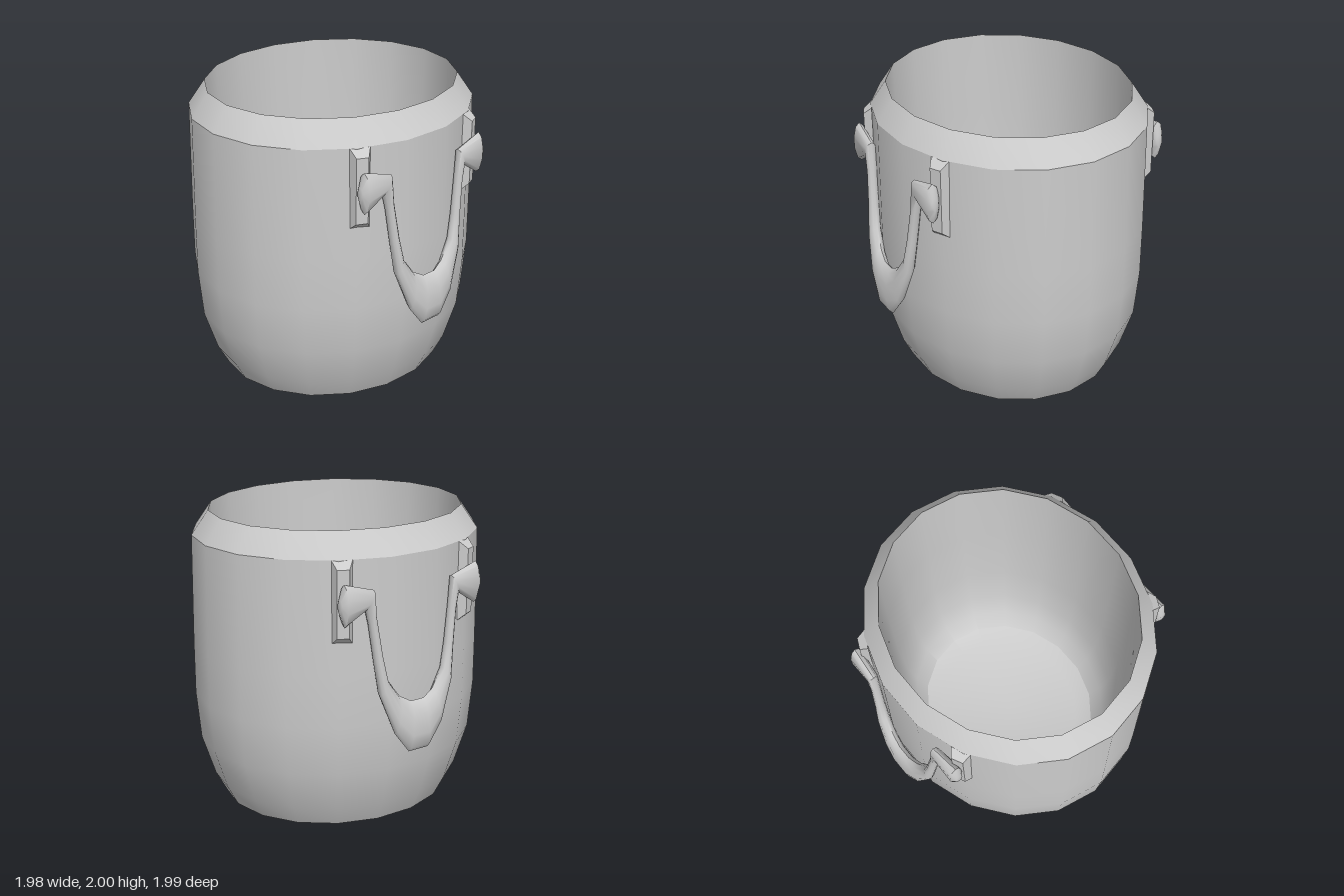
import * as THREE from 'three';
import { toCreasedNormals } from 'three/addons/utils/BufferGeometryUtils.js';

const material = new THREE.MeshStandardMaterial({ color: 0xcccccc });

function part(name, geometry) {
  const mesh = new THREE.Mesh(geometry, material);
  mesh.name = name;
  return mesh;
}

// Oval bucket: outside wall, chamfered rim, then the inside down to the floor
function bucketGeometry() {
  const profile = [
    [0, 0], [0.8, 0], [0.875, 0.14], [0.965, 0.42], [0.995, 0.75], [0.995, 1.1], [0.985, 1.84], [0.87, 2],
    [0.86, 1.4], [0.84, 0.8], [0.8, 0.45], [0.74, 0.27], [0.66, 0.16], [0.54, 0.11], [0, 0.1],
  ].map(([r, y]) => new THREE.Vector2(r, y));
  const geometry = new THREE.LatheGeometry(profile, 18);
  geometry.scale(0.9, 1, 1);
  return toCreasedNormals(geometry, 0.55);
}

// Plate whose outer face is chamfered on all four edges
function plateGeometry() {
  const geometry = new THREE.BoxGeometry(0.055, 0.53, 0.13);
  const p = geometry.attributes.position;
  for (let i = 0; i < p.count; i++) {
    if (p.getX(i) > 0) p.setXYZ(i, p.getX(i), p.getY(i) * 0.82, p.getZ(i) * 0.6);
  }
  return toCreasedNormals(geometry, 0.2);
}

// Drooping handle: oval rings between an outer and an inner edge, flared at the ends
function handleGeometry() {
  // outer [x, y, z], inner [x, y, z], half thickness in x
  const half = [
    [[0.85, 1.53, 0.54], [0.85, 1.62, 0.54], 0.025],
    [[0.85, 1.435, 0.505], [0.85, 1.71, 0.51], 0.048],
    [[0.86, 1.53, 0.36], [0.865, 1.65, 0.3], 0.038],
    [[0.868, 1.42, 0.335], [0.868, 1.47, 0.285], 0.034],
    [[0.885, 1.2, 0.308], [0.885, 1.22, 0.248], 0.036],
    [[0.908, 0.97, 0.28], [0.897, 1.06, 0.215], 0.042],
    [[0.94, 0.7, 0.18], [0.917, 0.94, 0.13], 0.048],
    [[0.952, 0.56, 0.075], [0.93, 0.895, 0.05], 0.05],
  ];
  const flip = ([x, y, z]) => [x, y, -z];
  const rings = [...half, ...half.slice().reverse().map(([o, i, t]) => [flip(o), flip(i), t])];
  const sides = 10, positions = [], index = [];
  for (const [o, i, t] of rings) {
    const outer = new THREE.Vector3(...o), inner = new THREE.Vector3(...i);
    const centre = outer.clone().add(inner).multiplyScalar(0.5);
    const reach = outer.clone().sub(centre);
    for (let j = 0; j < sides; j++) {
      const a = (j / sides) * Math.PI * 2;
      const v = centre.clone().addScaledVector(reach, Math.cos(a));
      positions.push(v.x + t * Math.sin(a), v.y, v.z);
    }
  }
  for (let r = 0; r < rings.length - 1; r++) {
    for (let j = 0; j < sides; j++) {
      const a = r * sides + j, b = r * sides + (j + 1) % sides;
      index.push(a, a + sides, b, b, a + sides, b + sides);
    }
  }
  // End caps
  const last = (rings.length - 1) * sides;
  for (let j = 1; j < sides - 1; j++) {
    index.push(0, j, j + 1, last, last + j + 1, last + j);
  }
  const geometry = new THREE.BufferGeometry();
  geometry.setAttribute('position', new THREE.Float32BufferAttribute(positions, 3));
  geometry.setIndex(index);
  return toCreasedNormals(geometry, 1.05);
}

export function createModel() {
  const model = new THREE.Group();
  model.name = 'bucket';
  model.add(part('bucketBody', bucketGeometry()));

  // One handle with two mounting plates on each side
  const handle = handleGeometry(), plate = plateGeometry();
  for (const side of ['left', 'right']) {
    const assembly = new THREE.Group();
    assembly.name = side + 'HandleAssembly';
    assembly.add(part(side + 'Handle', handle));
    for (const s of [1, -1]) {
      const mount = part(side + (s > 0 ? 'MountA' : 'MountB'), plate);
      mount.position.set(0.795, 1.575, s * 0.482);
      mount.rotation.y = -s * 0.45;
      assembly.add(mount);
    }
    if (side === 'right') assembly.rotation.y = Math.PI;
    model.add(assembly);
  }
  return model;
}
